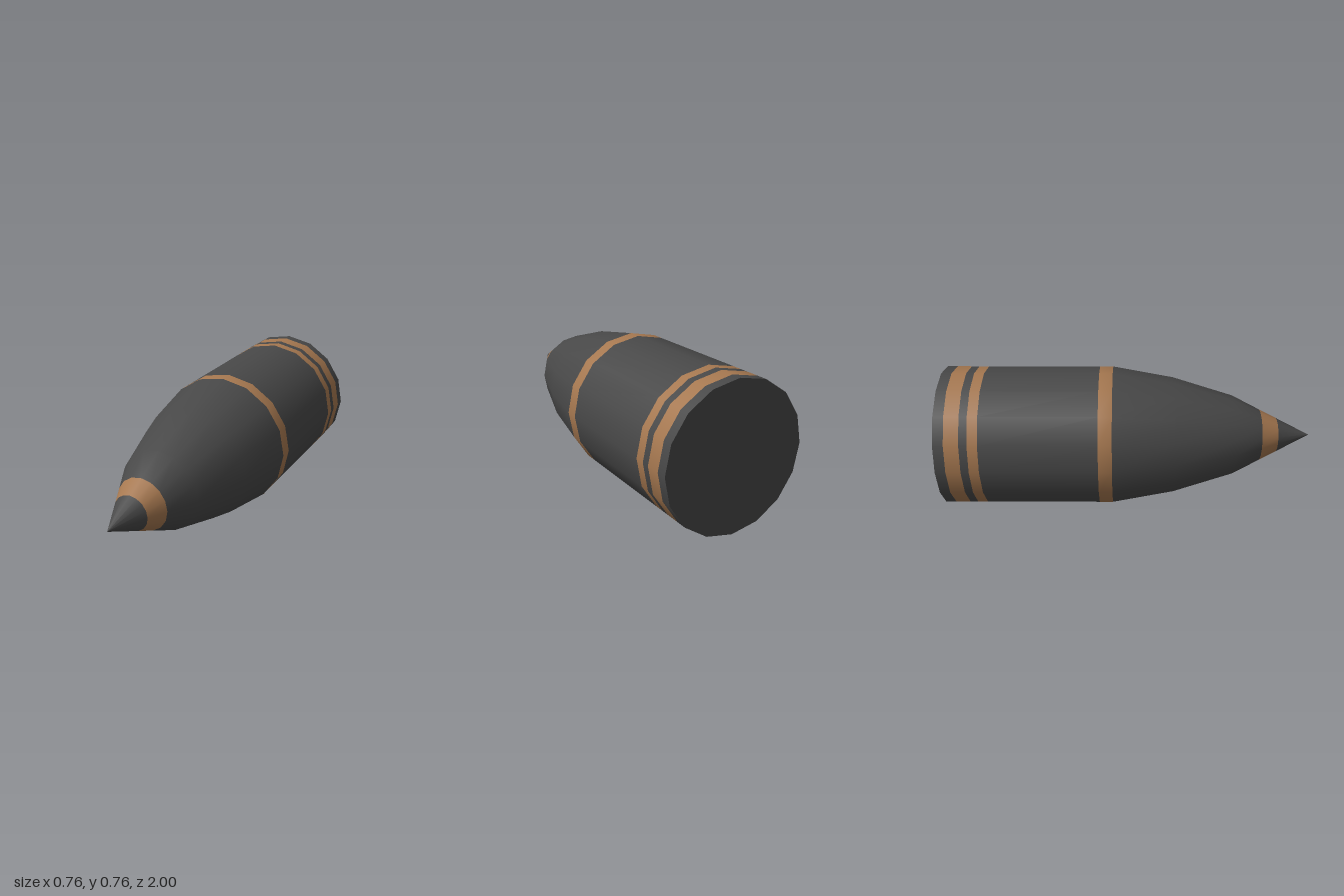
import * as THREE from 'three';

const R = 0.379, SIDES = 16;

export function createModel() {
  const model = new THREE.Group();
  const steel = new THREE.MeshStandardMaterial({ name: 'dark steel', color: 0x484848 });
  const copper = new THREE.MeshStandardMaterial({ name: 'copper', color: 0xa67850 });

  // Rings from base to tip: [z, radius, name of the span that follows, material]
  const rings = [
    [-1, R, 'baseRim', steel],
    [-0.945, R, 'rearDrivingBand', copper],
    [-0.867, R, 'bandGap', steel],
    [-0.825, R, 'frontDrivingBand', copper],
    [-0.772, R, 'body', steel],
    [-0.16, R, 'shoulderBand', copper],
    [-0.088, R, 'ogive', steel],
    [0.24, 0.32, 'ogiveMiddle', steel],
    [0.568, 0.22, 'ogiveFront', steel],
    [0.72, 0.142, 'noseBand', copper],
    [0.815, 0.094, 'noseTip', steel],
    [1, 0],
  ];

  // One smooth lathe; each span uses its own row of faces so normals stay continuous
  const hull = new THREE.LatheGeometry(rings.map(([z, r]) => new THREE.Vector2(r, z)), SIDES);
  hull.rotateX(Math.PI / 2);
  const n = rings.length;
  for (let j = 0; j < n - 1; j++) {
    const index = [];
    for (let i = 0; i < SIDES; i++) {
      const a = i * n + j, b = a + n;
      index.push(a, b, a + 1);
      if (j < n - 2) index.push(b + 1, a + 1, b);
    }
    const span = hull.clone().setIndex(index);
    const mesh = new THREE.Mesh(span, rings[j][3]);
    mesh.name = rings[j][2];
    model.add(mesh);
  }

  // Flat base
  const base = new THREE.Mesh(new THREE.CircleGeometry(R, SIDES).rotateY(Math.PI), steel);
  base.position.z = -1;
  base.name = 'base';
  model.add(base);

  model.children.forEach((part) => { part.position.y = R; });
  return model;
}
